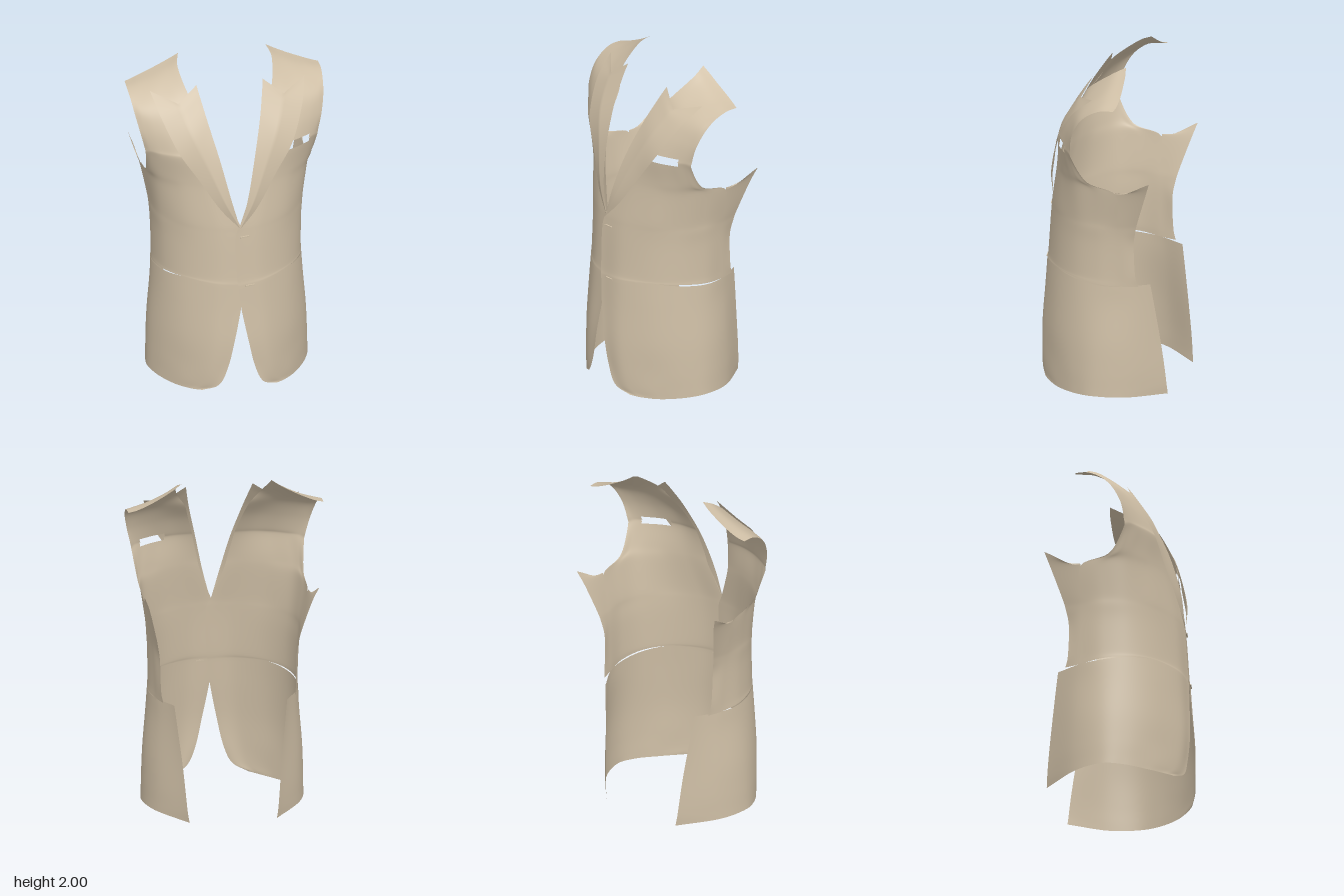
import * as THREE from 'three';
import { mergeGeometries, mergeVertices } from 'three/addons/utils/BufferGeometryUtils.js';

// One cross-section row: height (single or per column), then x, z pairs from front edge outwards
const row = (y, ...xz) => Array.from({ length: xz.length / 2 }, (_, i) =>
  new THREE.Vector3(xz[2 * i], Array.isArray(y) ? y[i] : y, xz[2 * i + 1]));

// Smooth interpolation through a list of points, at parameter t counted in points
function spline(pts, t) {
  const i = Math.min(Math.floor(t), pts.length - 2), f = t - i;
  const a = pts[i], b = pts[i + 1];
  const before = pts[i - 1] ?? a.clone().multiplyScalar(2).sub(b);
  const after = pts[i + 2] ?? b.clone().multiplyScalar(2).sub(a);
  const out = new THREE.Vector3();
  for (const k of ['x', 'y', 'z']) {
    const m0 = (b[k] - before[k]) / 2, m1 = (after[k] - a[k]) / 2;
    out[k] = a[k] + f * m0 + f * f * (3 * (b[k] - a[k]) - 2 * m0 - m1)
      + f * f * f * (2 * (a[k] - b[k]) + m0 + m1);
  }
  return out;
}

// Surface through the rows, limited to columns c0..c1, with an optional cut-out test
function loft(rows, c0, c1, cut = () => false) {
  const nu = (c1 - c0) * 10, nv = (rows.length - 1) * 6;
  const p = [], index = [];
  for (let v = 0; v <= nv; v++)
    for (let u = 0; u <= nu; u++)
      p.push(spline(rows.map((r) => spline(r, c0 + u / 10)), v / 6));
  for (let v = 0; v < nv; v++)
    for (let u = 0; u < nu; u++) {
      const a = v * (nu + 1) + u, b = a + 1, c = a + nu + 1, d = c + 1;
      if (cut(p[a].clone().add(p[d]).multiplyScalar(0.5))) continue;
      index.push(a, b, d, a, d, c);
    }
  const g = new THREE.BufferGeometry().setFromPoints(p);
  g.setIndex(index);
  return g;
}

function join(...parts) {
  const g = mergeVertices(mergeGeometries(parts), 0.0015);
  g.computeVertexNormals();
  return g;
}

// Skirt, from the rounded hem up to the pocket line (the middle dips to open the slit)
const skirt = [
  row([0.025, 0.018, 0.015, 0.022, 0.028, 0.02, 0.005], 0.22, 0.345, 0.28, 0.30, 0.36, 0.22, 0.44, 0.10, 0.473, -0.03, 0.42, -0.20, 0.255, -0.40),
  row(0.07, 0.13, 0.385, 0.22, 0.345, 0.335, 0.25, 0.435, 0.11, 0.472, -0.03, 0.42, -0.20, 0.265, -0.395),
  row(0.18, 0.08, 0.395, 0.19, 0.365, 0.33, 0.255, 0.43, 0.12, 0.47, -0.03, 0.42, -0.20, 0.275, -0.385),
  row(0.35, 0.042, 0.40, 0.17, 0.37, 0.325, 0.26, 0.425, 0.12, 0.463, -0.03, 0.42, -0.19, 0.29, -0.365),
  row(0.57, 0, 0.388, 0.15, 0.36, 0.31, 0.257, 0.41, 0.12, 0.445, -0.03, 0.41, -0.18, 0.315, -0.335),
  row([0.715, 0.725, 0.735, 0.721, 0.705, 0.70, 0.70], -0.015, 0.38, 0.14, 0.352, 0.30, 0.25, 0.40, 0.12, 0.437, -0.03, 0.413, -0.165, 0.33, -0.316),
];

// Bodice, from the pocket line to the bottom of the armhole
const bodice = [
  row([0.715, 0.725, 0.735, 0.729, 0.713, 0.70, 0.70], -0.015, 0.38, 0.14, 0.352, 0.30, 0.25, 0.40, 0.12, 0.437, -0.03, 0.413, -0.165, 0.385, -0.26),
  row(0.77, -0.022, 0.375, 0.135, 0.347, 0.297, 0.249, 0.398, 0.12, 0.435, -0.03, 0.416, -0.16, 0.395, -0.243),
  row(0.95, -0.03, 0.365, 0.13, 0.337, 0.29, 0.247, 0.398, 0.12, 0.437, -0.025, 0.425, -0.155, 0.40, -0.236),
  row(1.05, -0.024, 0.358, 0.135, 0.328, 0.295, 0.242, 0.405, 0.115, 0.443, -0.02, 0.435, -0.15, 0.415, -0.25),
  row(1.12, 0.006, 0.348, 0.15, 0.317, 0.305, 0.236, 0.413, 0.11, 0.448, -0.02, 0.447, -0.15, 0.43, -0.268),
  row(1.295, 0.07, 0.315, 0.20, 0.28, 0.33, 0.215, 0.435, 0.11, 0.473, -0.02, 0.48, -0.15, 0.475, -0.325),
];

// Chest and shoulder, ending on the armhole edge
const chest = [
  row([1.38, 1.38, 1.38, 1.38, 1.37, 1.355], 0.09, 0.302, 0.22, 0.268, 0.34, 0.215, 0.43, 0.145, 0.47, 0.085, 0.485, 0.02),
  row([1.512, 1.512, 1.512, 1.512, 1.51, 1.50], 0.12, 0.272, 0.23, 0.263, 0.33, 0.235, 0.42, 0.185, 0.475, 0.14, 0.503, 0.11),
  row(1.557, 0.13, 0.253, 0.24, 0.248, 0.34, 0.22, 0.43, 0.175, 0.485, 0.14, 0.513, 0.114),
  row([1.66, 1.66, 1.66, 1.66, 1.655, 1.65], 0.16, 0.20, 0.26, 0.20, 0.36, 0.175, 0.45, 0.14, 0.505, 0.115, 0.535, 0.10),
  row([1.76, 1.76, 1.76, 1.755, 1.75, 1.745], 0.19, 0.13, 0.28, 0.13, 0.37, 0.115, 0.46, 0.09, 0.52, 0.07, 0.556, 0.052),
  row([1.85, 1.84, 1.83, 1.82, 1.81, 1.805], 0.245, 0.075, 0.31, 0.06, 0.38, 0.04, 0.46, 0.02, 0.53, 0, 0.566, -0.01),
  row([1.955, 1.925, 1.897, 1.87, 1.85, 1.84], 0.277, -0.065, 0.33, -0.068, 0.39, -0.07, 0.46, -0.075, 0.53, -0.08, 0.572, -0.085),
  row([2.0, 1.965, 1.925, 1.89, 1.86, 1.845], 0.258, -0.15, 0.31, -0.16, 0.38, -0.166, 0.45, -0.17, 0.52, -0.168, 0.57, -0.16),
];

// Underarm point rising behind the armhole
const underarm = row([1.30, 1.30, 1.30, 1.35, 1.39, 1.297, 1.39],
  0.07, 0.315, 0.20, 0.28, 0.33, 0.215, 0.44, 0.11, 0.47, 0.02, 0.482, -0.155, 0.51, -0.357);

// Peaked lapel: fold edge, middle, outer edge
const lapel = [
  row([1.09, 1.085, 1.08], 0, 0.36, -0.002, 0.362, -0.005, 0.362),
  row([1.28, 1.245, 1.21], 0.05, 0.345, 0.08, 0.348, 0.11, 0.334),
  row([1.50, 1.445, 1.39], 0.10, 0.285, 0.163, 0.297, 0.225, 0.286),
  row([1.70, 1.63, 1.56], 0.15, 0.195, 0.243, 0.232, 0.335, 0.238),
  row([1.83, 1.76, 1.74], 0.18, 0.115, 0.293, 0.148, 0.415, 0.128),
  row([1.90, 1.81, 1.855], 0.195, 0.065, 0.31, 0.105, 0.455, 0),
];

export function createModel() {
  const model = new THREE.Group();
  const cloth = new THREE.MeshStandardMaterial({ color: 0xcfbfa6, side: THREE.DoubleSide });
  cloth.name = 'beige cloth';

  const add = (parent, name, geometry) => {
    const mesh = new THREE.Mesh(geometry, cloth);
    mesh.name = name;
    parent.add(mesh);
    return mesh;
  };

  // Open breast pocket, on the left side only
  const pocket = (p) => p.x > 0.29 && p.x < 0.447 && p.y > 1.512 && p.y < 1.557;

  for (const side of [1, -1]) {
    const half = new THREE.Group();
    half.name = side > 0 ? 'leftFront' : 'rightFront';
    half.scale.x = side;
    half.position.z = side > 0 ? 0 : -0.008; // the left front laps over the right

    add(half, 'panel', join(
      loft(skirt, 0, 6),
      loft([...bodice, ...chest], 0, 5, side > 0 ? pocket : undefined),
      loft([...bodice, underarm], 5, 6),
    ));
    add(half, 'lapel', join(
      loft(lapel.map((r) => r.slice(0, 2)), 0, 1),
      loft(lapel.map((r) => r.slice(1, 3)), 0, 1),
    ));
    model.add(half);
  }

  // Buttonhole welts on the overlapping edge
  for (const [x, y, z] of [[0.025, 1.03, 0.358], [0.055, 0.713, 0.375]]) {
    const welt = add(model, 'buttonhole', new THREE.BoxGeometry(0.055, 0.007, 0.008));
    welt.position.set(x, y, z);
    welt.rotation.y = 0.15;
  }
  return model;
}
